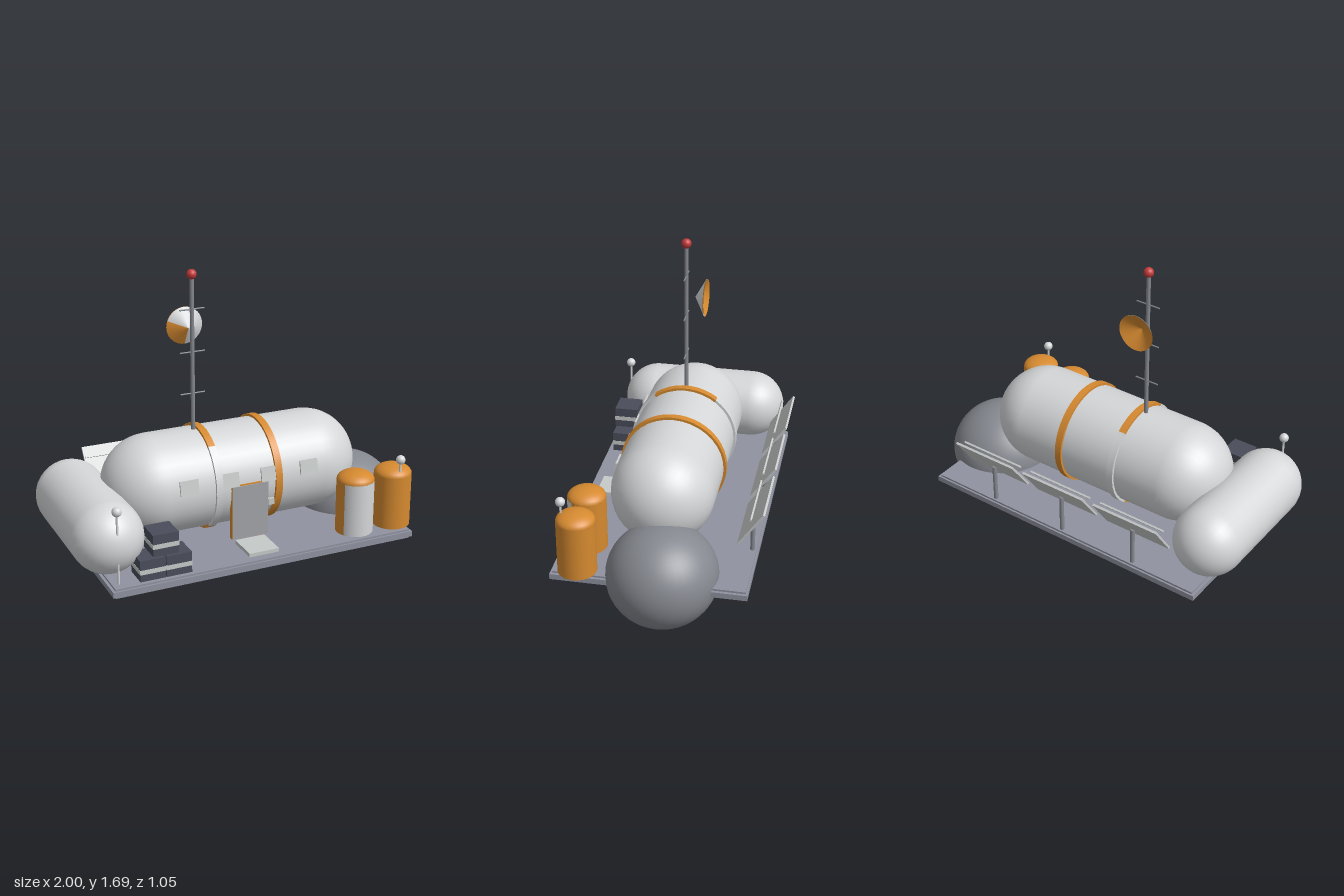
import * as THREE from 'three';
import { toCreasedNormals } from 'three/addons/utils/BufferGeometryUtils.js';

const mat = (name, color, side = THREE.FrontSide) => {
  const m = new THREE.MeshStandardMaterial({ color, side });
  m.name = name;
  return m;
};
const rad = THREE.MathUtils.degToRad;

export function createModel() {
  const root = new THREE.Group();
  root.name = 'habitatBase';

  const shell = mat('paleShell', 0xd4d6d8, THREE.DoubleSide);
  const panelGrey = mat('panelGrey', 0xc6cac8);
  const grey = mat('deckGrey', 0x9093a0);
  const steel = mat('steelGrey', 0x85888f);
  const doorGrey = mat('doorGrey', 0xa2a4a8);
  const orange = mat('orange', 0xd68a30, THREE.DoubleSide);
  const dark = mat('darkCrate', 0x4a4d5a);
  const red = mat('beaconRed', 0xc43a3a);

  const add = (name, geo, material, x = 0, y = 0, z = 0, parent = root) => {
    const m = new THREE.Mesh(geo, material);
    m.name = name;
    m.position.set(x, y, z);
    parent.add(m);
    return m;
  };
  const box = (w, h, d) => new THREE.BoxGeometry(w, h, d);
  const rod = (r, h, n = 12) => new THREE.CylinderGeometry(r, r, h, n);
  const ball = (r) => new THREE.SphereGeometry(r, 20, 14);

  // Deck with a slightly wider rim
  add('deck', box(1.65, 0.05, 0.98), grey, -0.022, 0.255, 0.022);
  add('deckRim', box(1.68, 0.03, 1.0), grey, -0.022, 0.255, 0.022);

  // Pressure modules
  const cx = -0.022, cy = 0.577, cz = 0.018;
  add('mainModule', new THREE.CapsuleGeometry(0.267, 0.885, 14, 36).rotateZ(Math.PI / 2), shell, cx, cy, cz);
  add('sideModule', new THREE.CapsuleGeometry(0.188, 0.555, 12, 32).rotateX(Math.PI / 2), shell, -0.812, 0.467, 0.02);
  add('storageSphere', new THREE.SphereGeometry(0.286, 40, 28), steel, 0.709, 0.268, -0.033).scale.y = 0.937;

  // Bands round the main module
  const band = (name, x, material, start, length) => {
    const profile = [[0.262, -0.019], [0.28, -0.019], [0.28, 0.019], [0.262, 0.019], [0.262, -0.019]]
      .map(([r, h]) => new THREE.Vector2(r, h));
    const g = new THREE.LatheGeometry(profile, Math.round(length / 8), rad(start), rad(length));
    add(name, toCreasedNormals(g.rotateZ(-Math.PI / 2), 0.6), material, x, cy, cz);
  };
  band('rightBand', 0.14, orange, 0, 360);
  for (const a of [90, 270]) {
    band('splitBandOrange', -0.195, orange, a - 37, 74);
    band('splitBandPale', -0.195, shell, a + 37, 106);
  }

  // Window plates on the front
  for (let i = 0; i < 4; i++) {
    add('window', box(0.1, 0.075, 0.009), panelGrey, -0.36 + i * 0.225, 0.638, 0.283).rotation.x = -0.22;
  }

  // Door, frame, latch and step
  add('doorFrame', box(0.205, 0.3, 0.03), orange, -0.025, 0.456, 0.275);
  add('door', box(0.2, 0.29, 0.03), doorGrey, -0.025, 0.455, 0.281);
  add('doorLatch', box(0.035, 0.035, 0.03), panelGrey, 0.098, 0.48, 0.272);
  add('doorStep', box(0.166, 0.02, 0.175), panelGrey, -0.026, 0.29, 0.378);

  // Domed tanks; the inner one has a pale front
  const tankWall = (name, x, material, start, length) => add(name,
    new THREE.CylinderGeometry(0.1, 0.1, 0.29, Math.ceil(length / 12), 1, true, rad(start), rad(length)),
    material, x, 0.425, 0.39);
  for (const x of [0.537, 0.762]) {
    add('tankDome', new THREE.SphereGeometry(0.1, 28, 8, 0, Math.PI * 2, 0, Math.PI / 2), orange, x, 0.57, 0.39)
      .scale.y = 0.5;
  }
  tankWall('innerTankFront', 0.537, shell, -62, 117);
  tankWall('innerTankBack', 0.537, orange, 55, 243);
  tankWall('outerTank', 0.762, orange, 0, 360);

  // Marker lamps at the front corners
  for (const x of [-0.812, 0.762]) {
    add('lampPole', rod(0.006, 0.38), shell, x, 0.47, 0.463);
    add('lamp', ball(0.025), shell, x, 0.667, 0.463);
  }

  // Stacked crates with pale straps
  for (const [x, y] of [[-0.642, 0.335], [-0.503, 0.335], [-0.572, 0.46]]) {
    add('crate', box(0.135, 0.115, 0.13), dark, x, y, 0.425);
    add('crateStrap', box(0.138, 0.024, 0.134), panelGrey, x, y - 0.005, 0.425);
  }

  // Mast with rungs and beacon
  const mx = -0.228, mz = 0.022;
  add('mast', rod(0.011, 0.85), steel, mx, 1.24, mz);
  for (const y of [1.04, 1.262, 1.487]) {
    add('mastRung', rod(0.004, 0.135, 8).rotateZ(Math.PI / 2), steel, mx, y, mz);
  }
  add('beacon', ball(0.026), red, mx, 1.667, mz);

  // Dish, open towards the back
  const cone = (start, length) => new THREE.ConeGeometry(0.098, 0.055, Math.round(length / 10), 1, true,
    rad(start), rad(length)).rotateX(Math.PI / 2);
  add('dishOuterOrange', cone(250, 110), orange, mx, 1.374, -0.053);
  add('dishOuterPale', cone(0, 250), shell, mx, 1.374, -0.053);
  add('dishInner', cone(0, 360), orange, mx, 1.374, -0.057);

  // Solar panels on posts behind the module
  for (const x of [-0.473, -0.025, 0.425]) {
    add('panelPost', rod(0.012, 0.23), steel, x, 0.375, -0.447);
    const frame = new THREE.Group();
    frame.name = 'solarPanel';
    frame.position.set(x, 0.52, -0.46);
    frame.rotation.x = -0.607;
    root.add(frame);
    add('panelPlate', box(0.382, 0.22, 0.012), panelGrey, 0, 0, 0, frame);
    add('panelRail', box(0.382, 0.01, 0.01), panelGrey, 0, 0.045, 0.035, frame);
  }

  return root;
}
